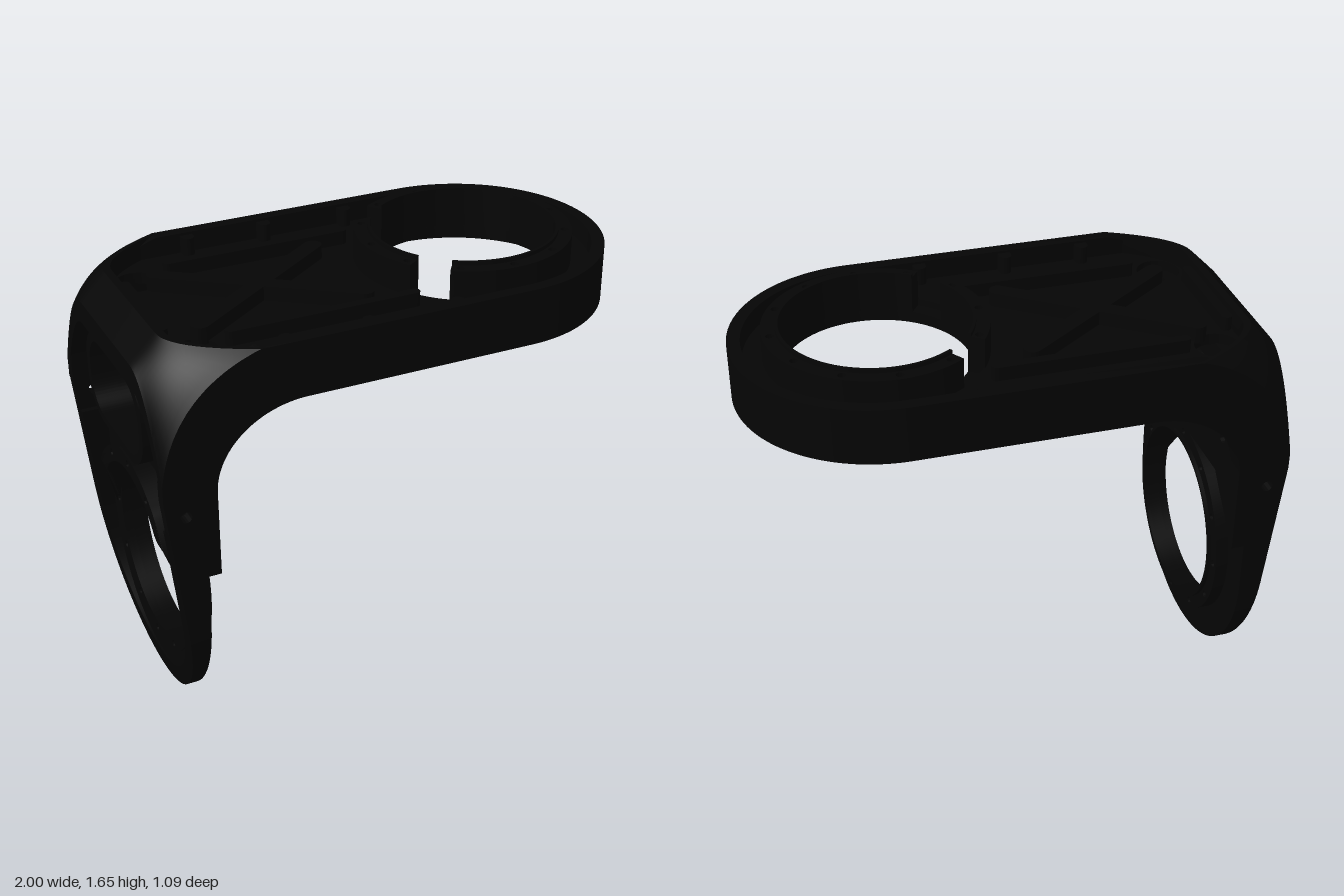
import * as THREE from 'three';
import { toCreasedNormals } from 'three/addons/utils/BufferGeometryUtils.js';

const PI = Math.PI;
const W = 0.545, IN = 0.495, HOLE = 0.355, BOLT_R = 0.39, ARM_X = 0.45, LEG_Y = 0.55;

// Outer (sloping) face of the leg at height y
const backX = (y) => (y > 1.08 ? -1 : -0.88 - (0.12 * y) / 1.08);

const circle = (x, y, r) => new THREE.Path().absarc(x, y, r, 0, PI * 2, true);

function polygon(points) {
  return new THREE.Shape(points.map(([x, y]) => new THREE.Vector2(x, y)));
}

// Twelve bolt holes, keeping those between two angles
function addBolts(shape, cx, cy, a0 = -0.01, a1 = PI * 2 - 0.01) {
  for (let i = -12; i < 24; i++) {
    const a = (i * PI) / 6;
    if (a > a0 && a < a1) {
      shape.holes.push(circle(cx + BOLT_R * Math.cos(a), cy + BOLT_R * Math.sin(a), 0.015));
    }
  }
  return shape;
}

// Sector of a flat ring
function arcShape(cx, cy, r0, r1, a0, a1) {
  const s = new THREE.Shape();
  s.absarc(cx, cy, r1, a0, a1, false);
  s.absarc(cx, cy, r0, a1, a0, true);
  s.closePath();
  return s;
}

function ringShape(cx, cy, r0, r1) {
  const s = new THREE.Shape().absarc(cx, cy, r1, 0, PI * 2, false);
  s.holes.push(circle(cx, cy, r0));
  return s;
}

function roundedRect(x0, y0, x1, y1, r, Type) {
  const p = new Type();
  p.absarc(x1 - r, y1 - r, r, 0, PI / 2, false);
  p.absarc(x0 + r, y1 - r, r, PI / 2, PI, false);
  p.absarc(x0 + r, y0 + r, r, PI, PI * 1.5, false);
  p.absarc(x1 - r, y0 + r, r, PI * 1.5, PI * 2, false);
  p.closePath();
  return p;
}

// Bar outline seen in plan, round at both ends
function barShape(x0, y0, x1, y1, r) {
  const a = Math.atan2(y1 - y0, x1 - x0);
  const s = new THREE.Shape();
  s.absarc(x1, y1, r, a - PI / 2, a + PI / 2, false);
  s.absarc(x0, y0, r, a + PI / 2, a + PI * 1.5, false);
  s.closePath();
  return s;
}

// Arm-to-leg corner: small chamfer in the middle, blending to a wide one at the sides
function cornerGeometry(rows = 48, steps = 12) {
  const positions = [], index = [], n = steps + 5;
  for (let i = 0; i <= rows; i++) {
    const z = -W + (2 * W * i) / rows;
    const k = Math.max(0, (Math.abs(z) - 0.28) / (W - 0.28)), k2 = k * k;
    const low = 1.5 - 0.35 * k2, top = -0.9 + 0.28 * k2;
    const curve = new THREE.QuadraticBezierCurve(
      new THREE.Vector2(-1, low), new THREE.Vector2(-0.95, 1.55 - 0.05 * k2), new THREE.Vector2(top, 1.6));
    const loop = [[-1, low - 0.09], ...curve.getPoints(steps).map((p) => [p.x, p.y]),
      [top + 0.03, 1.6], [top + 0.03, 1.48], [-0.89, low - 0.09]];
    for (const [x, y] of loop) positions.push(x, y, z);
  }
  for (let i = 0; i < rows; i++) {
    for (let j = 0; j < n; j++) {
      const a = i * n + j, b = i * n + ((j + 1) % n);
      index.push(a, a + n, b, b, a + n, b + n);
    }
  }
  const g = new THREE.BufferGeometry();
  g.setAttribute('position', new THREE.Float32BufferAttribute(positions, 3));
  g.setIndex(index);
  return g;
}

export function createModel() {
  const model = new THREE.Group();
  const material = new THREE.MeshStandardMaterial({ color: 0x050505 });

  const extrude = (shape, depth) =>
    new THREE.ExtrudeGeometry(shape, { depth, bevelEnabled: false, curveSegments: 40 });
  function add(name, geometry) {
    const mesh = new THREE.Mesh(toCreasedNormals(geometry, 0.5), material);
    mesh.name = name;
    model.add(mesh);
  }
  const addFlat = (name, shape, y0, y1) =>
    add(name, extrude(shape, y1 - y0).rotateX(-PI / 2).translate(0, y0, 0));
  const addUpright = (name, shape, x0, x1) =>
    add(name, extrude(shape, x1 - x0).rotateY(PI / 2).translate(x0, 0, 0));
  const addProfile = (name, shape, z0, z1) =>
    add(name, extrude(shape, z1 - z0).translate(0, 0, z0));
  // Upright part whose outer face follows a rule of height
  function addSloped(name, shape, rule, x1) {
    const g = extrude(shape, 0.1).rotateY(PI / 2).translate(x1 - 0.1, 0, 0);
    const pos = g.attributes.position;
    for (let i = 0; i < pos.count; i++) {
      if (pos.getX(i) < x1 - 0.05) pos.setX(i, rule(pos.getY(i)));
    }
    add(name, g);
  }

  // Arm floor, set below the walls
  const f = 0.51, corner = 0.25;
  const floor = new THREE.Shape();
  floor.moveTo(-0.88, -f + corner);
  floor.quadraticCurveTo(-0.88, -f, -0.88 + corner, -f);
  floor.lineTo(ARM_X, -f);
  floor.absarc(ARM_X, 0, f, -PI / 2, PI / 2, false);
  floor.lineTo(-0.88 + corner, f);
  floor.quadraticCurveTo(-0.88, f, -0.88, f - corner);
  floor.closePath();
  floor.holes.push(circle(ARM_X, 0, 0.415), circle(-0.77, 0.31, 0.085), circle(-0.77, -0.31, 0.085));
  addFlat('armFloor', floor, 1.475, 1.52);
  addFlat('armEndWall', arcShape(ARM_X, 0, IN, W, -PI / 2, PI / 2), 1.38, 1.6);

  // Arm collar: full ring below, split by two gaps above, thin lip on top
  addFlat('armCollarBase', addBolts(ringShape(ARM_X, 0, HOLE, 0.42), ARM_X, 0), 1.45, 1.495);
  const deg = PI / 180;
  for (const [a0, a1] of [[-125, 125], [146, 214]]) {
    const s = addBolts(arcShape(ARM_X, 0, HOLE, 0.42, a0 * deg, a1 * deg), ARM_X, 0, a0 * deg, a1 * deg);
    addFlat('armCollar', s, 1.495, 1.64);
    addFlat('armCollarLip', arcShape(ARM_X, 0, HOLE, 0.367, a0 * deg, a1 * deg), 1.64, 1.655);
  }

  // Crossed ribs, their frame and the edge bosses on the arm floor
  for (const s of [-1, 1]) {
    addFlat('crossRib', barShape(-0.72, s * 0.23, -0.08, -s * 0.23, 0.035), 1.51, 1.575);
    addFlat('longRib', barShape(-0.64, s * 0.315, 0.08, s * 0.315, 0.02), 1.51, 1.575);
    for (const x of [-0.5, -0.18, 0.17]) {
      addFlat('edgeBoss', barShape(x, s * 0.475, x, s * 0.51, 0.025), 1.51, 1.59);
    }
  }
  addFlat('endRib', barShape(-0.85, -0.2, -0.85, 0.2, 0.02), 1.51, 1.575);

  add('outerCorner', cornerGeometry());

  // Side walls, curved inside and outside the corner, with a pin hole
  const wall = new THREE.Shape();
  wall.moveTo(-0.62, 1.6);
  wall.quadraticCurveTo(-0.95, 1.5, -1, 1.15);
  wall.lineTo(-1, 1.08);
  wall.lineTo(backX(0.93), 0.93);
  wall.lineTo(-0.8, 0.93);
  wall.lineTo(-0.8, 1.08);
  wall.absellipse(-0.45, 1.08, 0.35, 0.3, PI, PI / 2, true);
  wall.lineTo(ARM_X, 1.38);
  wall.lineTo(ARM_X, 1.6);
  wall.closePath();
  wall.holes.push(circle(-0.92, 1.01, 0.022));
  addProfile('leftSideWall', wall, IN, W);
  addProfile('rightSideWall', wall, -W, -IN);

  // Thicker cheeks behind the curved inner corner
  const cheek = new THREE.Shape();
  cheek.moveTo(-0.82, 1.48);
  cheek.lineTo(-0.82, 0.95);
  cheek.lineTo(-0.8, 0.95);
  cheek.lineTo(-0.8, 1.08);
  cheek.absellipse(-0.45, 1.08, 0.35, 0.3, PI, PI / 2, true);
  cheek.lineTo(-0.45, 1.48);
  cheek.closePath();
  addProfile('leftCheek', cheek, 0.457, IN);
  addProfile('rightCheek', cheek, -IN, -0.457);

  // Upper leg panel with window and four holes
  const panel = polygon([[-0.5, 0.97], [0.5, 0.97], [0.5, 1.48], [-0.5, 1.48]]);
  panel.holes.push(roundedRect(-0.275, 1.08, 0.275, 1.38, 0.13, THREE.Path));
  for (const s of [-1, 1]) {
    for (const [z, y] of [[0.35, 1.345], [0.37, 1.14]]) {
      panel.holes.push(circle(s * z, y, 0.022));
      addUpright('legHoleBoss', ringShape(s * z, y, 0.022, 0.05), -0.93, -0.89);
    }
    // Gusset running down the edge of the leg
    const gusset = [[s * W, 0.74], [s * W, 0.97], [s * 0.33, 0.97], [s * 0.4, 0.89]];
    addUpright('legGusset', polygon(gusset), -0.86, -0.8);
  }
  addUpright('legPanel', panel, -0.89, -0.8);
  const frame = roundedRect(-0.31, 1.05, 0.31, 1.42, 0.16, THREE.Shape);
  frame.holes.push(roundedRect(-0.275, 1.08, 0.275, 1.38, 0.13, THREE.Path));
  addUpright('windowFrame', frame, -0.985, -0.89);

  // Lower leg plate
  const plate = new THREE.Shape();
  plate.moveTo(0.5, 0.97);
  plate.lineTo(-0.5, 0.97);
  plate.absarc(0, 0.545, 0.5, PI, PI * 2, false);
  plate.closePath();
  plate.holes.push(circle(0, LEG_Y, HOLE));
  addUpright('legPlate', addBolts(plate, 0, LEG_Y), -0.88, -0.85);

  // Tapered rim around the lower leg
  const legRim = new THREE.Shape();
  legRim.moveTo(W, 0.93);
  legRim.lineTo(0.47, 0.93);
  legRim.absarc(0, 0.545, 0.47, 0, -PI, true);
  legRim.lineTo(-0.47, 0.93);
  legRim.lineTo(-W, 0.93);
  legRim.absarc(0, 0.545, W, PI, PI * 2, false);
  legRim.closePath();
  addSloped('legRim', legRim, backX, -0.85);

  // Leg collar: inner ring with thin lip, outer ring that deepens towards the top
  addUpright('legCollar', addBolts(ringShape(0, LEG_Y, HOLE, 0.42), 0, LEG_Y), -0.85, -0.8);
  addUpright('legCollarLip', ringShape(0, LEG_Y, HOLE, 0.367), -0.8, -0.785);
  addSloped('legOuterCollar', addBolts(ringShape(0, LEG_Y, HOLE, 0.42), 0, LEG_Y),
    (y) => -0.885 - 0.07 * THREE.MathUtils.smoothstep(y, 0.62, 0.78), -0.87);

  return model;
}
